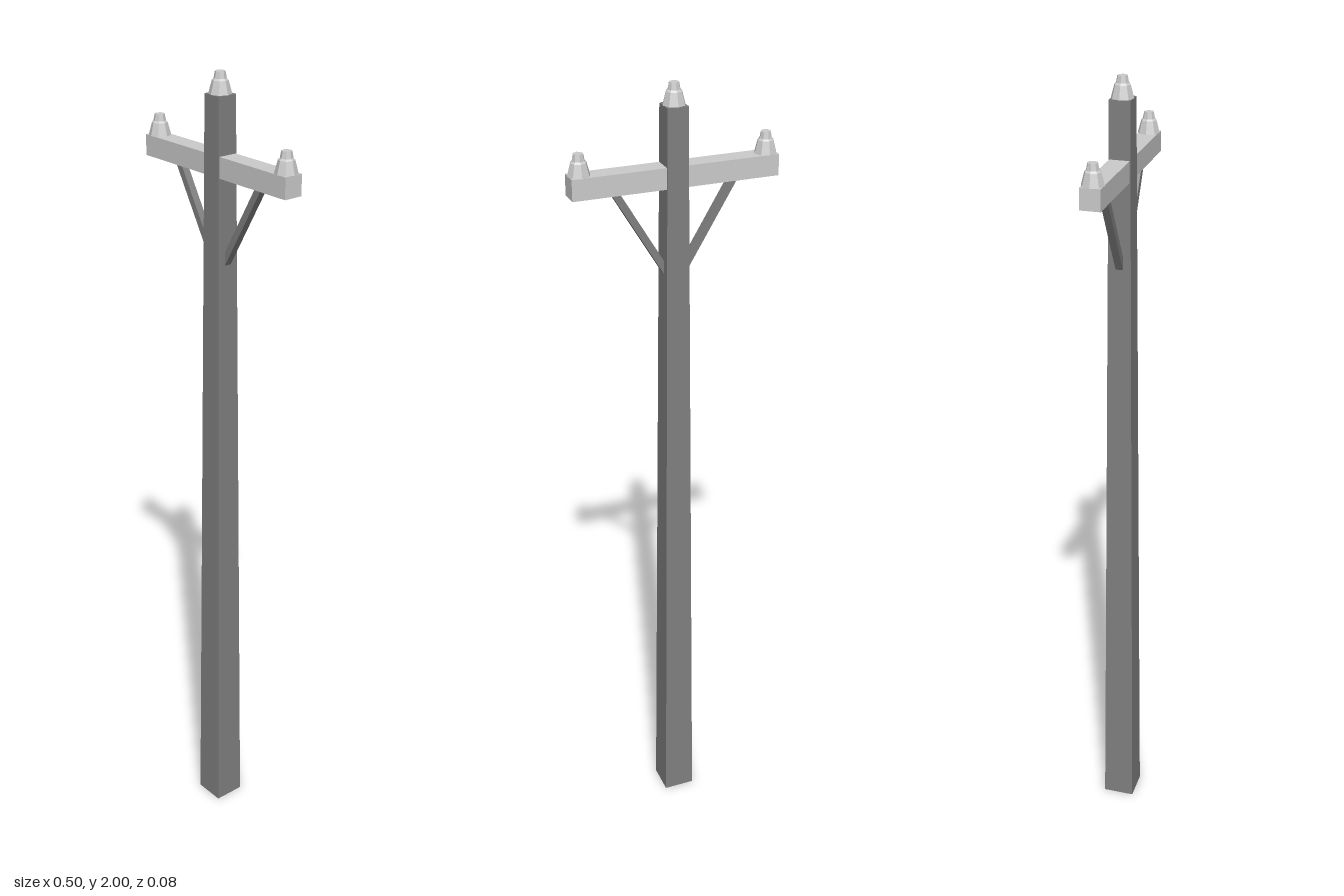
import * as THREE from 'three';

export function createModel() {
  const group = new THREE.Group();
  const light = new THREE.MeshStandardMaterial({ color: 0xcccccc, flatShading: true });
  const dark = new THREE.MeshStandardMaterial({ color: 0x808080, flatShading: true });

  function add(name, geometry, material, x, y) {
    const mesh = new THREE.Mesh(geometry, material);
    mesh.name = name;
    mesh.position.set(x, y, 0);
    group.add(mesh);
    return mesh;
  }

  // Tapered square pole
  const poleHeight = 1.95;
  const pole = new THREE.CylinderGeometry(0.025 * Math.SQRT2, 0.04 * Math.SQRT2, poleHeight, 4);
  pole.rotateY(Math.PI / 4);
  add('pole', pole, dark, 0, poleHeight / 2);

  // Crossarm through the pole
  add('crossarm', new THREE.BoxGeometry(0.498, 0.05, 0.048), light, 0, 1.791);

  // Diagonal braces from the pole up to the crossarm
  for (const side of [-1, 1]) {
    const low = new THREE.Vector2(side * 0.018, 1.557);
    const high = new THREE.Vector2(side * 0.15, 1.777);
    const along = high.clone().sub(low);
    const brace = add(side > 0 ? 'leftBrace' : 'rightBrace',
      new THREE.BoxGeometry(0.017, along.length(), 0.018), dark,
      (low.x + high.x) / 2, (low.y + high.y) / 2);
    brace.rotation.z = -Math.atan2(along.x, along.y);
  }

  // Eight-sided insulators: sloped skirt, shoulder and narrow head
  const profile = [[0, 0], [0.027, 0], [0.019, 0.03], [0.015, 0.034], [0.012, 0.05], [0, 0.05]]
    .map(([r, y]) => new THREE.Vector2(r, y));
  const insulator = new THREE.LatheGeometry(profile, 8);
  add('leftInsulator', insulator, light, 0.225, 1.816);
  add('rightInsulator', insulator, light, -0.225, 1.816);
  add('topInsulator', insulator, light, 0, poleHeight);

  return group;
}
